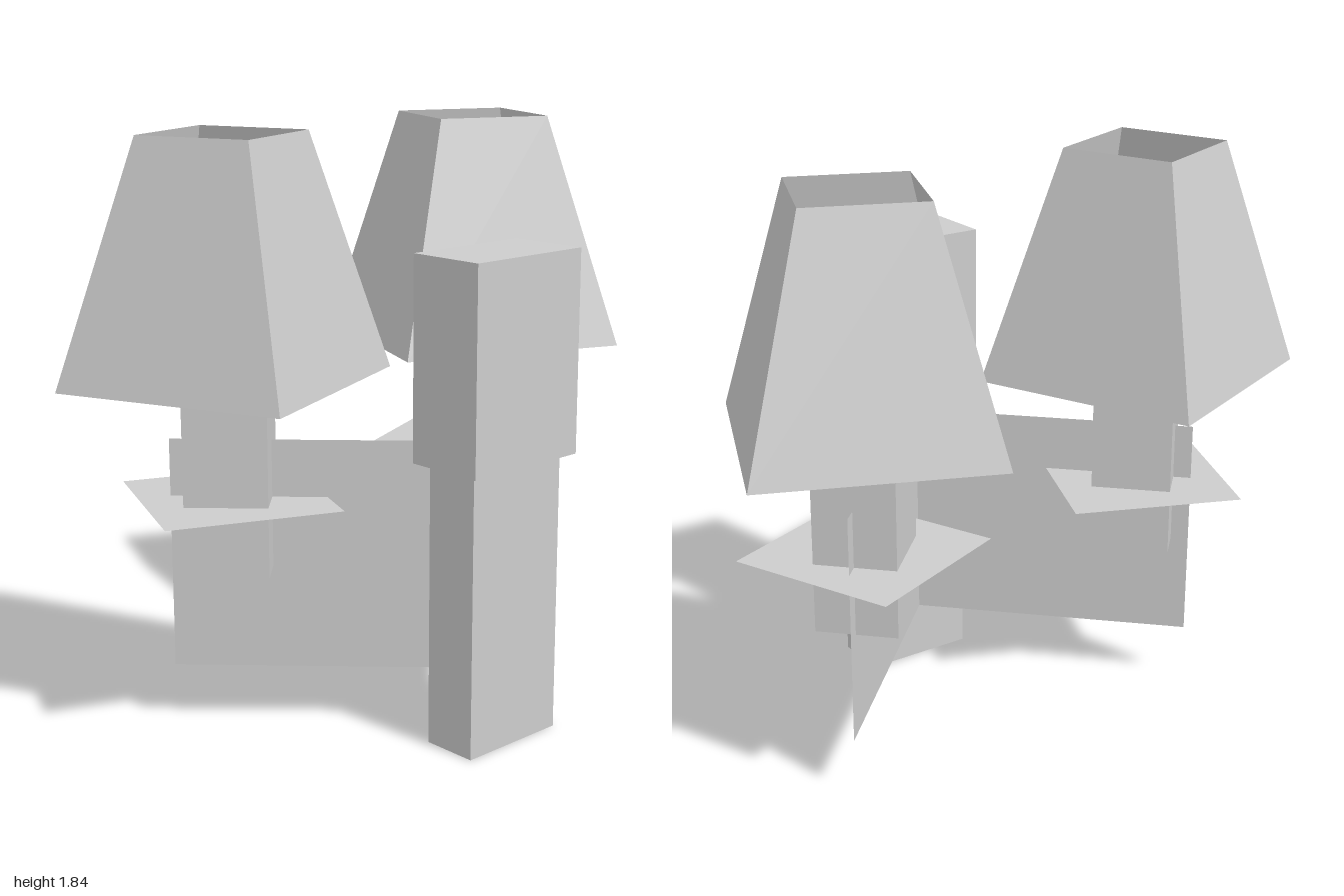
import * as THREE from 'three';

export function createModel() {
  const model = new THREE.Group();
  model.name = 'wallLamp';

  const grey = new THREE.MeshStandardMaterial({ color: 0xcccccc, flatShading: true, side: THREE.DoubleSide });
  grey.name = 'lightGrey';

  const add = (parent, name, geometry, x, y, z, turn = 0) => {
    const mesh = new THREE.Mesh(geometry, grey);
    mesh.name = name;
    mesh.position.set(x, y, z);
    mesh.rotation.y = turn;
    parent.add(mesh);
    return mesh;
  };

  // four-sided column or frustum, sized by its corner radius
  const square = (top, bottom, height, open = false) =>
    new THREE.CylinderGeometry(top, bottom, height, 4, 1, open);

  // central bracket against the wall
  add(model, 'lowerPost', new THREE.BoxGeometry(0.37, 0.89, 0.18), 0, 0.445, 0.485);
  add(model, 'upperBlock', new THREE.BoxGeometry(0.434, 0.625, 0.256), 0, 1.1975, 0.483);

  // one lamp on each side
  const tilt = Math.PI / 8;
  for (const s of [1, -1]) {
    const lamp = new THREE.Group();
    lamp.name = s > 0 ? 'leftLamp' : 'rightLamp';
    model.add(lamp);
    const x = 0.518 * s, z = -0.132;

    // thin arm running diagonally from the post through the candle
    add(lamp, 'arm', new THREE.PlaneGeometry(0.92, 0.73), 0.325 * s, 0.555, 0.065, s * Math.PI / 4);

    // candle and its flat drip tray
    add(lamp, 'candle', square(0.18, 0.18, 0.68), x, 0.86, z);
    const tray = new THREE.PlaneGeometry(0.545, 0.545).rotateX(-Math.PI / 2);
    add(lamp, 'dripTray', tray, x, 0.74, z, s * tilt);

    // bulb block hidden inside the open shade
    add(lamp, 'bulb', square(0.26, 0.26, 0.49), x, 1.415, z, s * tilt);
    add(lamp, 'shade', square(0.262, 0.52, 0.735, true), x, 1.4725, z, s * tilt);
  }
  return model;
}
